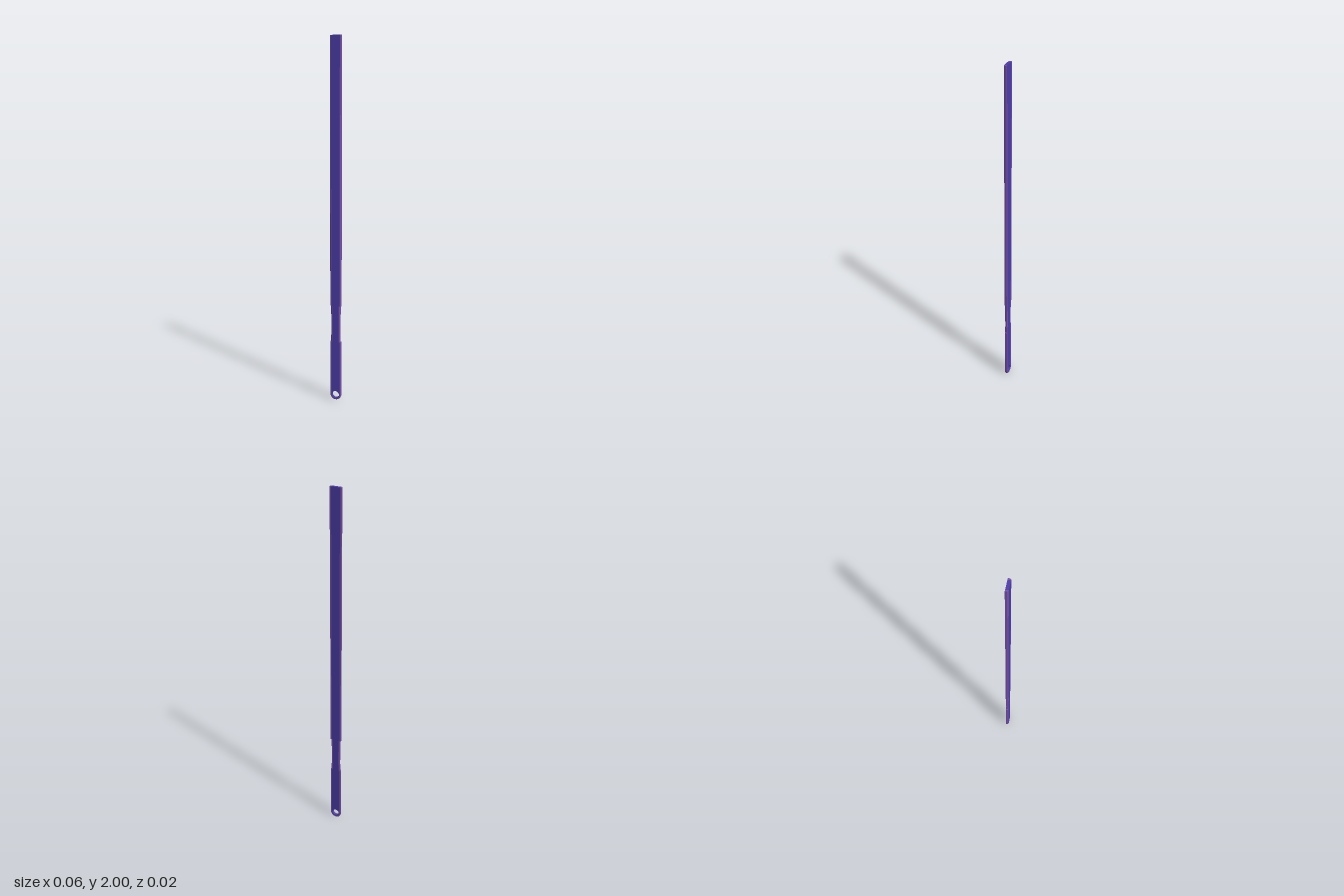
import * as THREE from 'three';

const HALF = 0.031;    // half width of the blade and grip
const RAIL = 0.008;    // rail thickness
const DEPTH = 0.0077;  // half depth
const END = HALF;      // height of the eyelet centre

// Heights, half widths and half depths of the straight stretches, top to bottom
const STRETCHES = [
  { name: 'blade', top: 2, bottom: 0.56, half: HALF, depth: DEPTH },
  { name: 'upperCollar', top: 0.56, bottom: 0.51, half: 0.026, depth: DEPTH },
  { name: 'neck', top: 0.51, bottom: 0.39, half: 0.0245, depth: 0.0073 },
  { name: 'lowerCollar', top: 0.39, bottom: 0.35, half: 0.026, depth: DEPTH },
  { name: 'grip', top: 0.35, bottom: END, half: HALF, depth: DEPTH },
];

// Outline down the -x side, round the eyelet and up the +x side
function outline() {
  const left = [];
  for (const s of STRETCHES) {
    for (const y of [s.top, s.bottom]) left.push({ x: -s.half, y, nx: 1, ny: 0, depth: s.depth });
  }
  const arc = [];
  const steps = 24;
  for (let i = 1; i < steps; i++) {
    const a = Math.PI + (Math.PI * i) / steps;
    const c = Math.cos(a), s = Math.sin(a);
    arc.push({ x: HALF * c, y: END + HALF * s, nx: -c, ny: -s, depth: DEPTH });
  }
  const right = left.map((p) => ({ ...p, x: -p.x, nx: -1 })).reverse();
  return [...left, ...arc, ...right];
}

// Sweep a section with chamfered front edge along the outline
function railGeometry() {
  const section = [[0, -1], [0, 0.35], [0.005, 1], [RAIL, 1], [RAIL, -1]];
  const rings = outline().map((p) =>
    section.map(([d, z]) => [p.x + p.nx * d, p.y + p.ny * d, z * p.depth]));
  const positions = [];
  const tri = (a, b, c) => positions.push(...a, ...b, ...c);
  const n = section.length;
  for (let i = 0; i < rings.length - 1; i++) {
    for (let j = 0; j < n; j++) {
      const k = (j + 1) % n;
      tri(rings[i][j], rings[i + 1][j], rings[i + 1][k]);
      tri(rings[i][j], rings[i + 1][k], rings[i][k]);
    }
  }
  const first = rings[0], last = rings[rings.length - 1];
  for (let j = 1; j < n - 1; j++) {
    tri(first[0], first[j], first[j + 1]);
    tri(last[0], last[j + 1], last[j]);
  }
  const geometry = new THREE.BufferGeometry();
  geometry.setAttribute('position', new THREE.Float32BufferAttribute(positions, 3));
  geometry.computeVertexNormals();
  return geometry;
}

// Grip core with rounded end and hanging hole
function gripGeometry(top) {
  const r = HALF - RAIL;
  const shape = new THREE.Shape();
  shape.moveTo(r, top);
  shape.lineTo(-r, top);
  shape.lineTo(-r, END);
  shape.absarc(0, END, r, Math.PI, Math.PI * 2, false);
  shape.closePath();
  const hole = new THREE.Path();
  hole.absarc(0, END + 0.001, 0.0205, 0, Math.PI * 2, true);
  shape.holes.push(hole);
  const geometry = new THREE.ExtrudeGeometry(shape, {
    depth: DEPTH * 2, bevelEnabled: false, curveSegments: 24,
  });
  geometry.translate(0, 0, -DEPTH);
  return geometry;
}

export function createModel() {
  const model = new THREE.Group();
  model.name = 'strap';
  const indigo = new THREE.MeshStandardMaterial({ color: 0x4c3ca8 });
  indigo.name = 'indigo';
  const violet = new THREE.MeshStandardMaterial({ color: 0x7650a8 });
  violet.name = 'violet';

  const add = (name, geometry, material) => {
    const mesh = new THREE.Mesh(geometry, material);
    mesh.name = name;
    model.add(mesh);
    return mesh;
  };

  // Violet edging in one run
  add('edgeRail', railGeometry(), violet);

  // Indigo core, stretch by stretch
  for (const s of STRETCHES) {
    if (s.name === 'grip') {
      add(s.name, gripGeometry(s.top), indigo);
      continue;
    }
    const box = new THREE.BoxGeometry((s.half - RAIL) * 2, s.top - s.bottom, s.depth * 2);
    add(s.name, box, indigo).position.y = (s.top + s.bottom) / 2;
  }
  return model;
}
